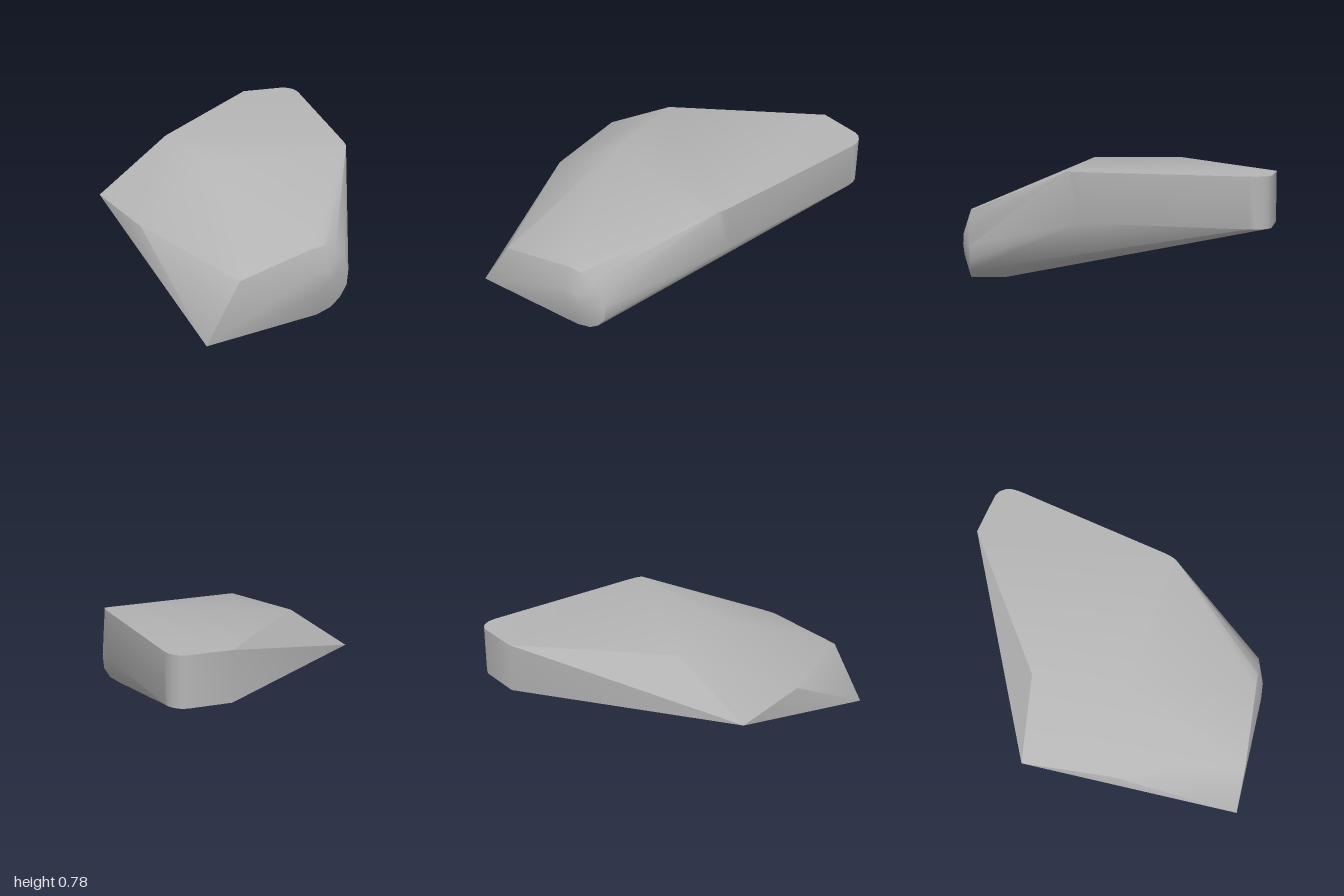
import * as THREE from 'three';
import { ConvexGeometry } from 'three/addons/geometries/ConvexGeometry.js';
import { toCreasedNormals } from 'three/addons/utils/BufferGeometryUtils.js';

export function createModel() {
  const group = new THREE.Group();
  const grey = new THREE.MeshStandardMaterial({ color: 0xb4b4b4 });
  grey.name = 'stone grey';

  const DECK = 0.78, SILL = 0.46, FRONT = 0.95;
  const points = [];
  const add = (x, y, z) => points.push(new THREE.Vector3(x, y, z));

  // Upright wall on the left and back, with a rounded rear corner: [x, z]
  const wall = [[0.54, -1], [0.815, -0.93], [0.85, -0.905], [0.87, -0.87], [0.877, -0.83], [0.87, -0.78], [0.573, 0.23]];
  for (const [x, z] of wall) {
    add(x, SILL, z);
    add(x, DECK, z);
  }
  add(0.555, DECK, 0.28);
  add(0.535, DECK, 0.315);

  // Sloping shoulder on the right
  for (const z of [-0.475, 0.12]) {
    add(-0.38, DECK, z);
    add(-0.88, SILL, z);
  }

  // Rim of the nose, round on the left: [x, y]
  const rim = [
    [-0.88, 0], [-0.65, 0.37], [-0.15, 0.457], [-0.05, 0.457], [0.03, 0.425], [0.1, 0.345],
    [0.13, 0.25], [0.12, 0.15], [0.07, 0.075], [0, 0.025], [-0.1, 0],
  ];
  for (const [x, y] of rim) add(x, y, FRONT);

  // Small raised tip of the nose and the start of the sloping underside
  for (const [x, y] of [[-0.12, 0.155], [-0.17, 0.31], [-0.055, 0.3], [-0.02, 0.24]]) add(x, y, 1);
  add(-0.1, 0, 0.72);

  // One faceted body, smooth over shallow edges and crisp over steep ones
  const body = new THREE.Mesh(toCreasedNormals(new ConvexGeometry(points), 0.66), grey);
  body.name = 'body';
  group.add(body);
  return group;
}
